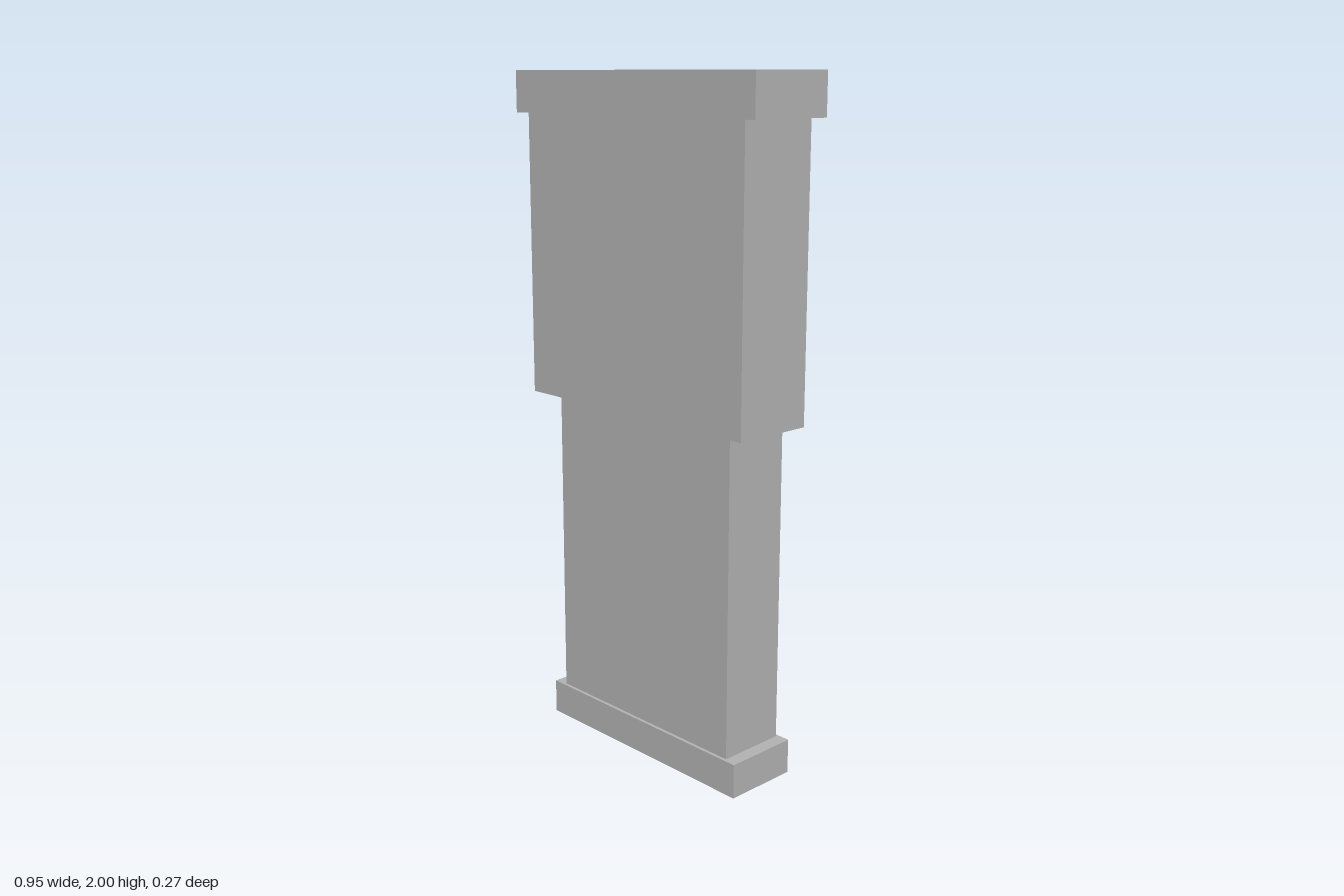
import * as THREE from 'three';

const grey = new THREE.MeshStandardMaterial({ color: 0xb2b2b2, side: THREE.DoubleSide });
grey.name = 'plain grey';

// A thin-walled box with its back (-z) side left open
function openBackBox(name, halfWidth, y0, y1, zBack, zFront) {
  const geometry = new THREE.BoxGeometry(2 * halfWidth, y1 - y0, zFront - zBack);
  // the back face is the last six indices
  geometry.setIndex(Array.from(geometry.index.array).slice(0, 30));
  geometry.clearGroups();
  geometry.translate(0, (y0 + y1) / 2, (zBack + zFront) / 2);
  const mesh = new THREE.Mesh(geometry, grey);
  mesh.name = name;
  return mesh;
}

export function createModel() {
  const model = new THREE.Group();
  model.name = 'steppedPilaster';
  model.add(
    openBackBox('base', 0.394, 0, 0.103, -0.134, 0.095),
    // the lower shaft runs slightly into the base and the upper shaft
    openBackBox('lowerShaft', 0.354, 0.08, 1.085, -0.125, 0.085),
    openBackBox('upperShaft', 0.432, 1.052, 1.885, -0.125, 0.125),
    openBackBox('topCap', 0.475, 1.88, 2, -0.135, 0.135)
  );
  return model;
}
